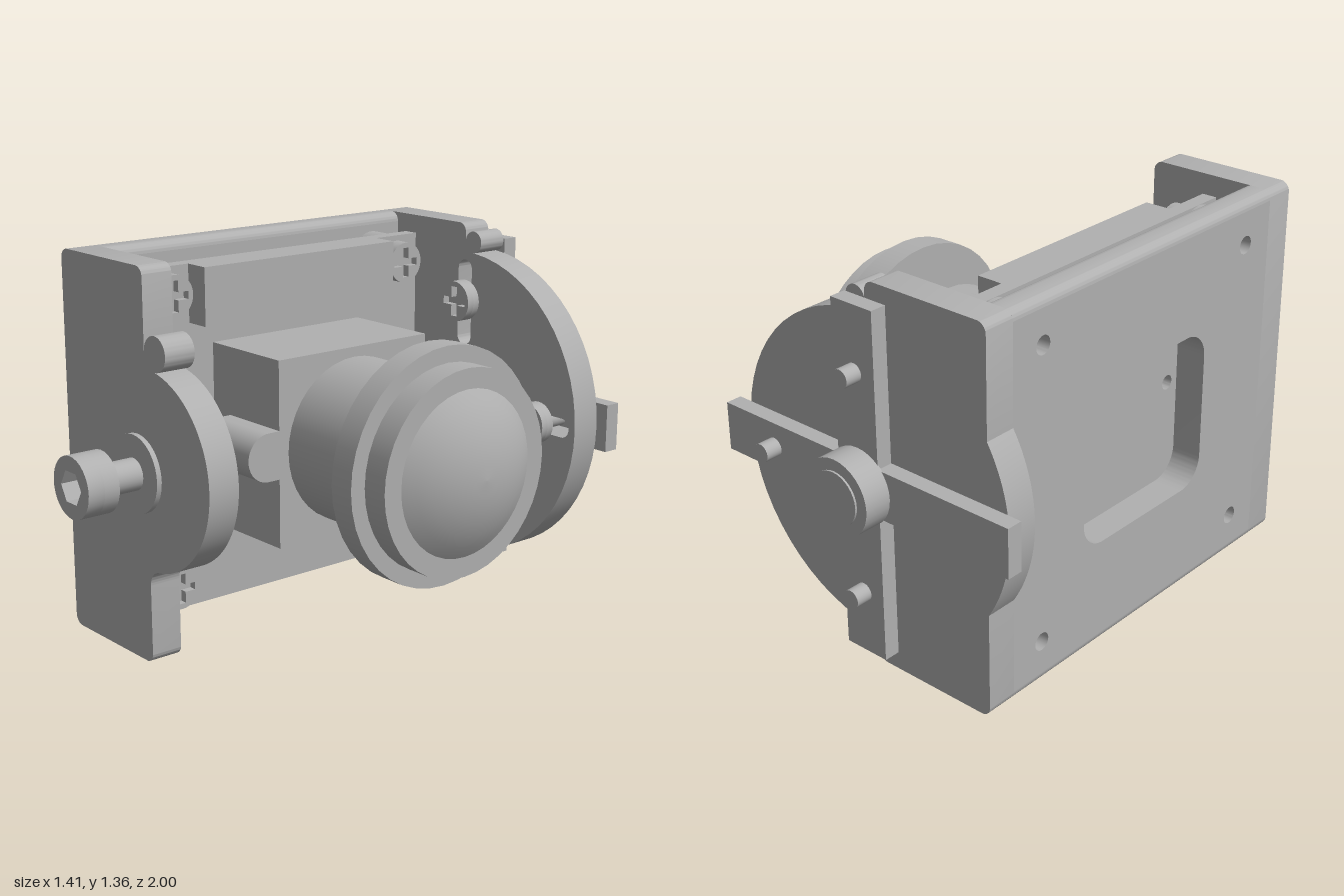
import * as THREE from 'three';
import { toCreasedNormals } from 'three/addons/utils/BufferGeometryUtils.js';

const AX = -0.09, AY = 0.68, CZ = -0.065; // pivot axis (x, y) and lens axis z
const PI = Math.PI;

export function createModel() {
  const root = new THREE.Group();
  const grey = new THREE.MeshStandardMaterial({ color: 0xb0b0b0 });
  grey.name = 'metal grey';

  const add = (name, geo) => {
    const m = new THREE.Mesh(geo, grey);
    m.name = name;
    root.add(m);
    return m;
  };
  const box = (name, x0, x1, y0, y1, z0, z1) =>
    add(name, new THREE.BoxGeometry(x1 - x0, y1 - y0, z1 - z0)
      .translate((x0 + x1) / 2, (y0 + y1) / 2, (z0 + z1) / 2));
  const extrude = (shape, depth, curveSegments = 12) => toCreasedNormals(
    new THREE.ExtrudeGeometry(shape, { depth, bevelEnabled: false, curveSegments }), 0.5);
  // Extrude along z, or along x (shape coordinates are then -z, y)
  const alongZ = (name, shape, z0, z1, seg) => add(name, extrude(shape, z1 - z0, seg).translate(0, 0, z0));
  const alongX = (name, shape, x0, x1, seg) => add(name, extrude(shape, x1 - x0, seg).rotateY(PI / 2).translate(x0, 0, 0));
  const cylZ = (name, r, x, y, z0, z1) =>
    add(name, new THREE.CylinderGeometry(r, r, z1 - z0, 32).rotateX(PI / 2).translate(x, y, (z0 + z1) / 2));
  const cylX = (name, r, y, z, x0, x1) =>
    add(name, new THREE.CylinderGeometry(r, r, x1 - x0, 40).rotateZ(PI / 2).translate((x0 + x1) / 2, y, z));

  const polygon = (pts, C = THREE.Path) => new C(pts.map(([x, y]) => new THREE.Vector2(x, y)));
  const circle = (x, y, r, C = THREE.Path) => new C().absarc(x, y, r, 0, PI * 2, false);
  const roundRect = (x0, x1, y0, y1, r, C = THREE.Path) => {
    const p = new C();
    p.absarc(x1 - r, y1 - r, r, 0, PI / 2, false);
    p.absarc(x0 + r, y1 - r, r, PI / 2, PI, false);
    p.absarc(x0 + r, y0 + r, r, PI, 1.5 * PI, false);
    p.absarc(x1 - r, y0 + r, r, 1.5 * PI, 2 * PI, false);
    p.closePath();
    return p;
  };
  const cross = (x, y, a, w, C) => polygon([[a, -w], [a, w], [w, w], [w, a], [-w, a], [-w, w],
    [-a, w], [-a, -w], [-w, -w], [-w, -a], [w, -a], [w, -w]].map(([u, v]) => [x + u, y + v]), C);

  // Side flange: rounded rectangle with a round lobe, filleted where they meet
  const H = 1.355, L = -0.575, c = 0.035;
  const flange = (R, f, bulge) => {
    const s = new THREE.Shape();
    const h = Math.sqrt((R + f) ** 2 - f * f);
    const t = Math.atan2(h, f);
    s.absarc(L + c, c, c, PI, 1.5 * PI, false);
    s.absarc(AX - c, c, c, 1.5 * PI, 2 * PI, false);
    s.absarc(AX + f, AY - h, f, PI, PI - t, true);
    s.absarc(AX, AY, R, -t, t, false);
    s.absarc(AX + f, AY + h, f, PI + t, PI, false);
    s.absarc(AX - c, H - c, c, 0, PI / 2, false);
    s.absarc(L + c, H - c, c, PI / 2, PI, false);
    if (bulge) {
      const b = Math.acos((AX - L) / R);
      s.absarc(AX, AY, R, PI - b, PI + b, false);
    }
    s.closePath();
    return s;
  };
  alongZ('frontFlange', flange(0.345, 0.06, false), 0.595, 0.71, 20);
  const back = flange(0.57, 0.04, true);
  back.holes.push(
    roundRect(AX - 0.035, AX + 0.035, 0.9, 1.22, 0.034),
    roundRect(AX - 0.035, AX + 0.035, 0.14, 0.46, 0.034),
    roundRect(0.13, 0.45, AY - 0.035, AY + 0.035, 0.034));
  alongZ('backFlange', back, -0.835, -0.72, 14);

  // Bracket wall with a window and four screw holes, plus rounded edge strips
  const W = -0.465, corners = [];
  for (const z of [-0.585, 0.46]) for (const y of [0.155, 1.2]) corners.push([z, y]);
  const wall = polygon([[-0.595, c], [0.72, c], [0.72, H - c], [-0.595, H - c]], THREE.Shape);
  wall.holes.push(roundRect(-0.25, 0.38, 0.39, 0.965, 0.1));
  corners.forEach(([z, y]) => wall.holes.push(circle(-z, y, 0.032)));
  alongX('bracketWall', wall, L, W);
  const topStrip = new THREE.Shape();
  topStrip.absarc(W - c, H - c, c, 0, PI / 2, false);
  topStrip.absarc(L + c, H - c, c, PI / 2, PI, false);
  topStrip.closePath();
  alongZ('wallTopEdge', topStrip, -0.72, 0.595);
  const bottomStrip = new THREE.Shape();
  bottomStrip.absarc(L + c, c, c, PI, 1.5 * PI, false);
  bottomStrip.absarc(W - c, c, c, 1.5 * PI, 2 * PI, false);
  bottomStrip.closePath();
  alongZ('wallBottomEdge', bottomStrip, -0.72, 0.595);

  // Circuit board on four spacers, with its connector
  const board = polygon([[-0.56, 0.06], [0.685, 0.06], [0.685, 1.295], [-0.56, 1.295]], THREE.Shape);
  for (const z of [0.315, -0.44]) board.holes.push(circle(-z, AY, 0.027));
  alongX('circuitBoard', board, -0.38, -0.325);
  box('connector', -0.325, -0.23, 1.09, 1.295, -0.487, 0.365);

  // Cross-slotted screw heads; axis is the direction the head faces
  const screwHead = (name, u, y, n0, n1, build) => {
    const mid = n0 + (n1 - n0) * 0.5;
    const s = circle(u, y, 0.075, THREE.Shape);
    build(name + 'Base', s, n0, mid, 16);
    const top = circle(u, y, 0.075, THREE.Shape);
    top.holes.push(cross(u, y, 0.055, 0.014));
    build(name, top, mid, n1, 16);
  };
  corners.forEach(([z, y]) => {
    cylX('spacer', 0.094, y, z, W, -0.38);
    screwHead('boardScrew', -z, y, -0.325, -0.27, alongX);
  });

  // Camera body with round side ears
  box('cameraBody', -0.325, 0.045, 0.347, 1.008, -0.395, 0.267);
  for (const [z0, z1, a] of [[0.267, 0.313, 1], [-0.395, -0.441, -1]]) {
    const ear = new THREE.Shape();
    if (a > 0) {
      ear.absarc(-z1, AY, 0.085, PI / 2, 1.5 * PI, false);
    } else {
      ear.absarc(-z1, AY, 0.085, -PI / 2, PI / 2, false);
    }
    ear.lineTo(-z0, AY - 0.085 * a);
    ear.lineTo(-z0, AY + 0.085 * a);
    ear.closePath();
    alongX('bodyEar', ear, -0.23, 0.045);
  }

  // Lens barrel, rings and domed glass
  cylX('lensBarrel', 0.293, AY, CZ, 0.045, 0.295);
  cylX('lensNeck', 0.225, AY, CZ, 0.295, 0.415);
  cylX('lensFlange', 0.412, AY, CZ, 0.415, 0.51);
  cylX('lensRing', 0.355, AY, CZ, 0.51, 0.605);
  const R = 0.475, dome = [];
  for (let i = 0; i <= 6; i++) {
    const a = Math.asin(0.285 / R) * (1 - i / 6);
    dome.push(new THREE.Vector2(R * Math.sin(a), R * Math.cos(a)));
  }
  add('lensDome', new THREE.LatheGeometry(dome, 40).rotateZ(-PI / 2).translate(0.7 - R, AY, CZ));

  // Front pivot: inner nut, shaft, washer and socket-head bolt
  cylZ('pivotNut', 0.153, AX, AY, 0.475, 0.595);
  cylZ('pivotShaft', 0.055, AX, AY, 0.6, 0.89);
  cylZ('pivotWasher', 0.134, AX, AY, 0.745, 0.763);
  cylZ('boltHeadBase', 0.105, AX, AY, 0.885, 0.94);
  const head = circle(AX, AY, 0.105, THREE.Shape);
  head.holes.push(polygon([0, 1, 2, 3, 4, 5].map(i =>
    [AX + 0.06 * Math.cos(i * PI / 3), AY + 0.06 * Math.sin(i * PI / 3)])));
  alongZ('boltHead', head, 0.94, 1, 16);

  // Rear cross arms with hub, pins and the screw heads inside
  alongZ('crossArms', cross(AX, AY, 0.616, 0.086, THREE.Shape), -0.893, -0.835);
  cylZ('hub', 0.134, AX, AY, -0.993, -0.89);
  cylZ('hubCap', 0.093, AX, AY, -1, -0.99);
  for (const [x, y] of [[AX, 1.07], [AX, 0.29], [0.3, AY]]) {
    cylZ('pin', 0.032, x, y, -0.953, -0.725);
    screwHead('slotScrew', x, y, -0.72, -0.665, alongZ);
  }
  screwHead('hubScrew', AX, AY, -0.72, -0.665, alongZ);
  return root;
}
